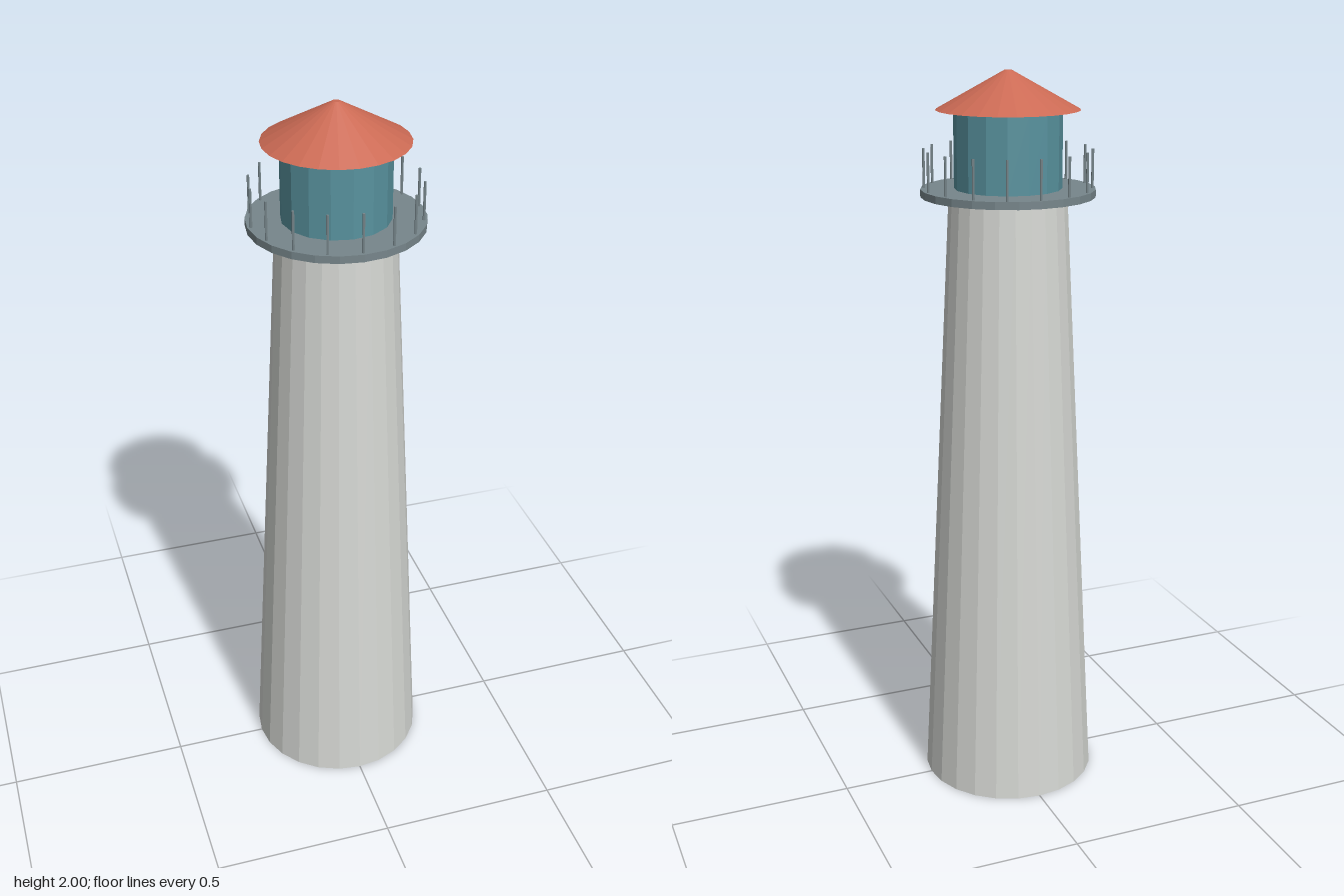
import * as THREE from 'three';

export function createModel() {
  const group = new THREE.Group();
  group.name = 'lighthouse';

  const material = (name, color) => {
    const m = new THREE.MeshStandardMaterial({ color, flatShading: true });
    m.name = name;
    return m;
  };
  const stone = material('pale stone', 0xd6d8d4);
  const iron = material('blue grey iron', 0x77868b);
  const glass = material('teal glass', 0x58929e);
  const tile = material('red roof', 0xcb6a54);

  // Upright round part between two heights
  const round = (name, mat, topRadius, bottomRadius, y0, y1, sides) => {
    const geometry = new THREE.CylinderGeometry(topRadius, bottomRadius, y1 - y0, sides);
    const mesh = new THREE.Mesh(geometry, mat);
    mesh.name = name;
    mesh.position.y = (y0 + y1) / 2;
    group.add(mesh);
    return mesh;
  };

  round('tower', stone, 0.158, 0.242, 0, 1.677, 24);
  round('galleryFloor', iron, 0.232, 0.232, 1.677, 1.697, 24);
  round('lanternRoom', glass, 0.143, 0.143, 1.697, 1.9, 16);
  round('roof', tile, 0.01, 0.19, 1.9, 2, 24);

  // Ring of railing posts on the gallery edge
  const postCount = 16;
  for (let i = 0; i < postCount; i++) {
    const angle = (i / postCount) * Math.PI * 2;
    const post = round('railingPost', iron, 0.0035, 0.0035, 1.695, 1.8, 6);
    post.position.x = Math.sin(angle) * 0.222;
    post.position.z = Math.cos(angle) * 0.222;
  }

  return group;
}
